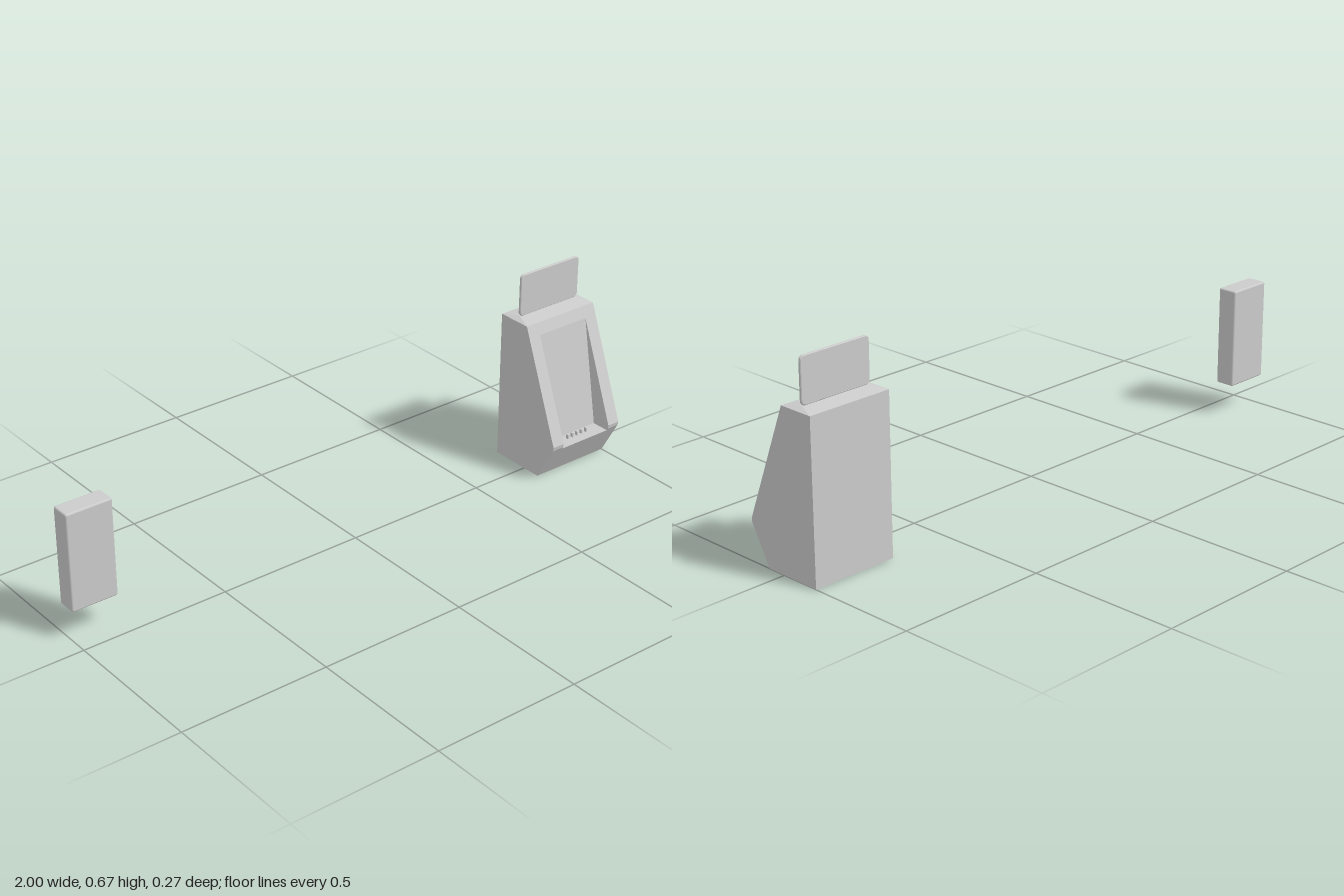
import * as THREE from 'three';
import { mergeGeometries } from 'three/addons/utils/BufferGeometryUtils.js';
import { RoundedBoxGeometry } from 'three/addons/geometries/RoundedBoxGeometry.js';

const material = new THREE.MeshStandardMaterial({ color: 0xcccccc });

function mesh(name, geometry, x = 0, y = 0, z = 0) {
  const m = new THREE.Mesh(geometry, material);
  m.name = name;
  m.position.set(x, y, z);
  return m;
}

// Sweeps a [z, y] profile straight across from x0 to x1, one flat quad per segment
function strip(profile, x0, x1) {
  const pos = [];
  for (let i = 0; i < profile.length - 1; i++) {
    const [z0, y0] = profile[i], [z1, y1] = profile[i + 1];
    pos.push(x0, y0, z0, x1, y0, z0, x1, y1, z1);
    pos.push(x0, y0, z0, x1, y1, z1, x0, y1, z1);
  }
  const g = new THREE.BufferGeometry();
  g.setAttribute('position', new THREE.Float32BufferAttribute(pos, 3));
  g.computeVertexNormals();
  return g;
}

// Flat panel with a [z, y] outline at x, facing +x or -x
function panel(outline, x, facing) {
  const shape = new THREE.Shape(outline.map(([z, y]) => new THREE.Vector2(-facing * z, y)));
  const g = new THREE.ShapeGeometry(shape).toNonIndexed();
  g.deleteAttribute('uv');
  return g.rotateY(facing * Math.PI / 2).translate(x, 0, 0);
}

function roundedRect(w, h, r) {
  const s = new THREE.Shape(), x = w / 2 - r, y = h / 2 - r;
  s.absarc(x, y, r, 0, Math.PI / 2);
  s.absarc(-x, y, r, Math.PI / 2, Math.PI);
  s.absarc(-x, -y, r, Math.PI, Math.PI * 1.5);
  s.absarc(x, -y, r, Math.PI * 1.5, Math.PI * 2);
  return s;
}

export function createModel() {
  const group = new THREE.Group();
  const holder = new THREE.Group();
  holder.name = 'holder';
  group.add(holder);

  const left = 0.71, right = 1, inLeft = 0.755, inRight = 0.955, mid = 0.855;

  // Side profile, split where the cradle recess opens
  const lower = [[-0.135, 0], [0.065, 0], [0.129, 0.115]];
  const lip = [[0.129, 0.115], [0.133, 0.122], [0.135, 0.135], [0, 0.477]];
  const upper = [[0, 0.477], [-0.015, 0.515]];
  const back = [[-0.135, 0.515], [-0.135, 0]];
  const recessCorner = [0.067, 0.115];
  const outline = [...lower, ...lip.slice(1), upper[1], back[0]];
  const cheek = [recessCorner, ...lip];

  holder.add(mesh('holderBody', mergeGeometries([
    strip([...lower], left, right),
    strip(upper, left, right),
    strip(back, left, right),
    strip(lip, left, inLeft),
    strip(lip, inRight, right),
    panel(outline, left, -1),
    panel(outline, right, 1),
  ])));

  // Wedge-shaped recess in the sloping front
  holder.add(mesh('cradleRecess', mergeGeometries([
    strip([lip[0], recessCorner, lip[3]], inLeft, inRight),
    panel(cheek, inLeft, 1),
    panel(cheek, inRight, -1),
  ])));

  // Contact pins on the recess floor
  for (let i = -2; i <= 2; i++) {
    holder.add(mesh('contactPin', new THREE.BoxGeometry(0.005, 0.014, 0.01), mid + i * 0.02, 0.122, 0.09));
  }

  // Low hipped top rising to the card
  const hip = new THREE.BoxGeometry(right - left, 0.008, 0.12).toNonIndexed();
  const p = hip.attributes.position;
  for (let i = 0; i < p.count; i++) {
    if (p.getY(i) > 0) {
      p.setX(i, Math.sign(p.getX(i)) * 0.123);
      p.setZ(i, Math.sign(p.getZ(i)) * 0.003);
    }
  }
  hip.computeVertexNormals();
  holder.add(mesh('hippedTop', hip, mid, 0.519, -0.075));

  // Upright card on a thin neck
  holder.add(mesh('cardNeck', new THREE.BoxGeometry(0.235, 0.012, 0.006), mid, 0.526, -0.075));
  const card = new THREE.ExtrudeGeometry(roundedRect(0.246, 0.141, 0.012), {
    depth: 0.006, bevelEnabled: true, bevelThickness: 0.002, bevelSize: 0.002, bevelSegments: 1, curveSegments: 5,
  });
  holder.add(mesh('card', card.translate(0, 0, -0.003), mid, 0.5955, -0.075));

  // Separate slim block
  group.add(mesh('slimBlock', new RoundedBoxGeometry(0.157, 0.33, 0.067, 2, 0.006), -0.9215, 0.267, -0.083));

  return group;
}
